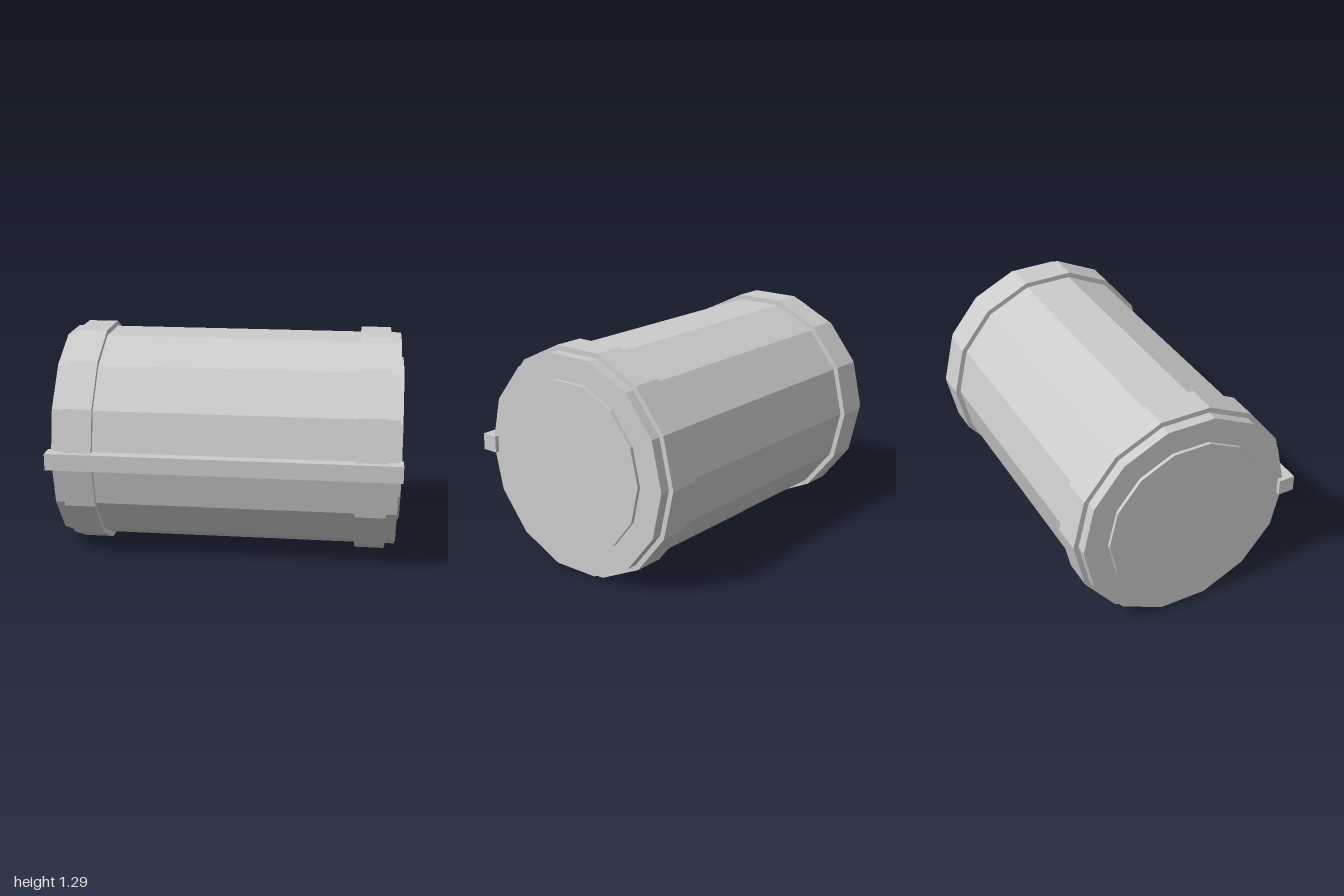
import * as THREE from 'three';

const SIDES = 14;
const AXIS_Y = 0.648;
const AXIS_Z = -0.013;

export function createModel() {
  const model = new THREE.Group();
  model.name = 'barrel';
  const material = new THREE.MeshStandardMaterial({ color: 0xcccccc, flatShading: true });

  // A faceted drum lying along x, from x0 to x1
  function drum(name, radius, x0, x1) {
    const geometry = new THREE.CylinderGeometry(radius, radius, x1 - x0, SIDES);
    geometry.rotateZ(Math.PI / 2);
    const mesh = new THREE.Mesh(geometry, material);
    mesh.position.set((x0 + x1) / 2, AXIS_Y, AXIS_Z);
    mesh.name = name;
    model.add(mesh);
  }

  // Main body
  drum('body', 0.633, -0.975, 0.975);

  // Raised band and end plate on each side
  drum('leftBand', 0.663, 0.74, 0.915);
  drum('rightBand', 0.663, -0.915, -0.74);
  drum('leftEndPlate', 0.488, 0.97, 0.994);
  drum('rightEndPlate', 0.488, -0.994, -0.97);

  // Long rail along the front
  const rail = new THREE.Mesh(new THREE.BoxGeometry(2, 0.096, 0.096), material);
  rail.position.set(0, AXIS_Y, 0.627);
  rail.name = 'frontRail';
  model.add(rail);

  return model;
}
